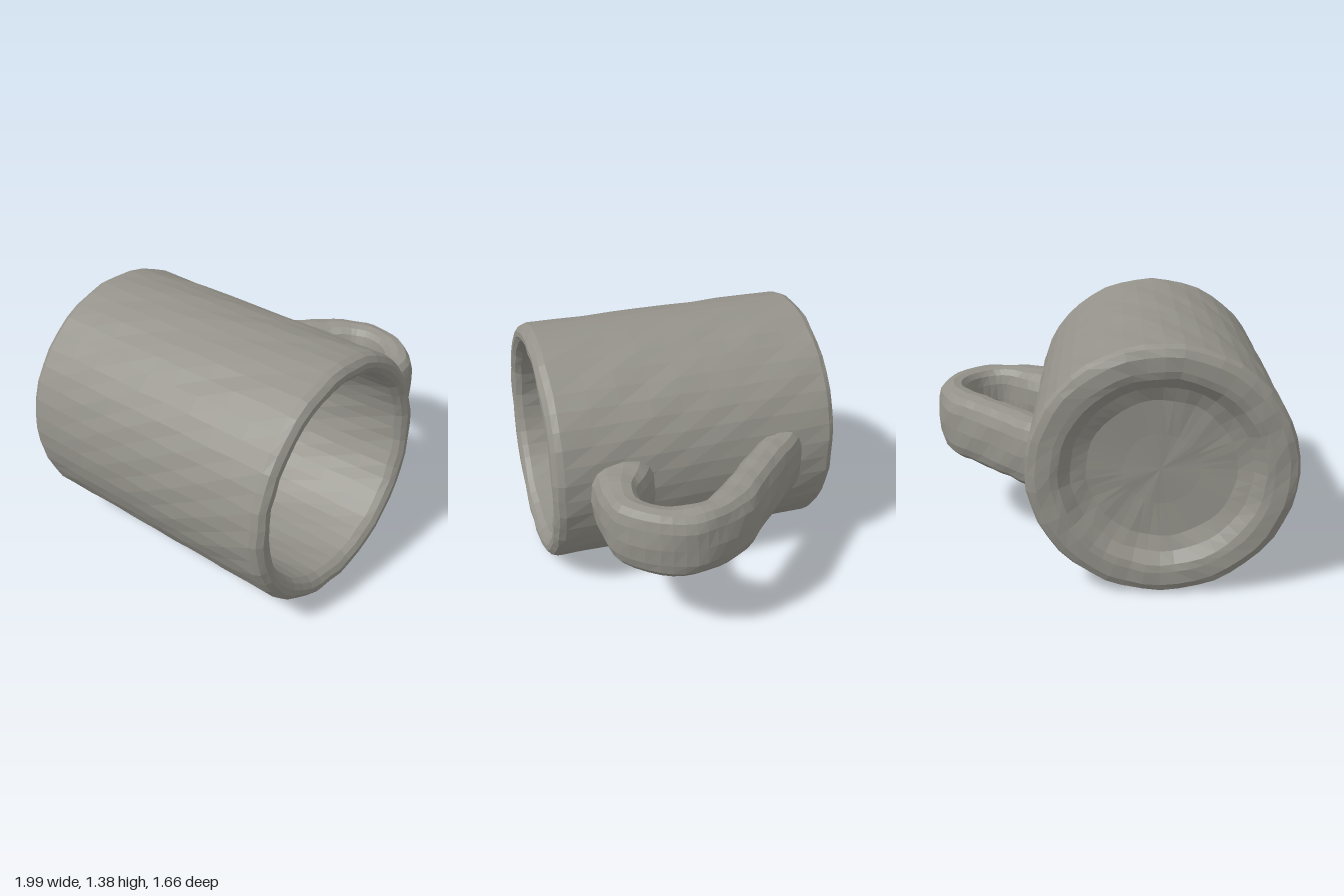
import * as THREE from 'three';

const CX = -0.295, CY = 0.69;

// Small hand-worn unevenness, a function of position so seams stay closed
function roughen(geometry, amount) {
  const p = geometry.attributes.position;
  for (let i = 0; i < p.count; i++) {
    const x = p.getX(i), y = p.getY(i), z = p.getZ(i);
    p.setXYZ(i,
      x + amount * Math.sin(31 * y + 17 * z + 5 * x),
      y + amount * Math.sin(27 * z + 23 * x + 1),
      z + amount * Math.sin(29 * x + 19 * y + 2));
  }
  geometry.computeVertexNormals();
  return geometry;
}

// Straight wall between two heights, with intermediate rings
function wall(r0, z0, r1, z1, steps) {
  return Array.from({ length: steps + 1 }, (_, i) => {
    const t = i / steps;
    return [r0 + (r1 - r0) * t, z0 + (z1 - z0) * t];
  });
}

// Lying cup: dished base, outer wall, rounded rim, hollow inside
function cupGeometry() {
  const profile = [
    [0, -0.715], [0.2, -0.715], [0.39, -0.725], [0.47, -0.755], [0.53, -0.805], [0.57, -0.815],
    [0.645, -0.815], [0.685, -0.797],
    ...wall(0.702, -0.765, 0.702, 0.755, 9),
    [0.69, 0.79], [0.66, 0.812], [0.63, 0.813], [0.6, 0.795],
    ...wall(0.58, 0.76, 0.565, -0.48, 7),
    [0.545, -0.55], [0.49, -0.6], [0.4, -0.62], [0.2, -0.628], [0, -0.63],
  ].map(([r, z]) => new THREE.Vector2(r, z));
  const g = new THREE.LatheGeometry(profile, 44);
  g.rotateX(Math.PI / 2);
  const p = g.attributes.position;
  for (let i = 0; i < p.count; i++) {
    const x = p.getX(i), y = p.getY(i), z = p.getZ(i);
    // slightly squashed, slightly leaning ends, faintly wider at the back
    const taper = 1 - 0.006 * z;
    p.setXYZ(i, CX + x, CY + y * 0.975 * taper, z - 0.025 * y);
  }
  return roughen(g, 0.003);
}

// Handle: rounded strap swept between an outer and an inner edge [x, z]
function handleGeometry() {
  const curve = (pts) => new THREE.CatmullRomCurve3(pts.map(([x, z]) => new THREE.Vector3(x, 0, z)));
  const outer = curve([[0.33, -0.66], [0.42, -0.59], [0.58, -0.42], [0.74, -0.26], [0.89, -0.11], [0.97, 0.06],
    [0.995, 0.22], [0.94, 0.4], [0.77, 0.58], [0.62, 0.615], [0.48, 0.62], [0.33, 0.62]]);
  const inner = curve([[0.33, -0.35], [0.42, -0.27], [0.54, -0.14], [0.65, -0.03], [0.75, 0.08], [0.795, 0.15],
    [0.81, 0.22], [0.78, 0.34], [0.67, 0.41], [0.57, 0.39], [0.47, 0.3], [0.33, 0.22]]);
  const rings = 33, sides = 16, pos = [], idx = [];
  const round = (v) => Math.sign(v) * Math.abs(v) ** 0.72;
  for (let i = 0; i <= rings; i++) {
    const o = outer.getPoint(i / rings), n = inner.getPoint(i / rings);
    const c = o.clone().add(n).multiplyScalar(0.5);
    const h = o.clone().sub(n).multiplyScalar(0.5);
    for (let j = 0; j < sides; j++) {
      const a = (j / sides) * Math.PI * 2;
      const u = round(Math.cos(a)), v = round(Math.sin(a));
      pos.push(c.x + h.x * u, 0.683 - 0.018 * c.z + 0.193 * v, c.z + h.z * u);
    }
  }
  for (let i = 0; i < rings; i++) {
    for (let j = 0; j < sides; j++) {
      const k = (j + 1) % sides;
      const a = i * sides + j, b = i * sides + k, c = a + sides, d = b + sides;
      idx.push(a, b, c, b, d, c);
    }
  }
  const g = new THREE.BufferGeometry();
  g.setAttribute('position', new THREE.Float32BufferAttribute(pos, 3));
  g.setIndex(idx);
  return roughen(g, 0.003);
}

export function createModel() {
  const clay = new THREE.MeshStandardMaterial({ color: 0x94928a, flatShading: true });
  clay.name = 'grey clay';

  const mug = new THREE.Group();
  mug.name = 'mug';
  const parts = { cup: cupGeometry(), handle: handleGeometry() };
  for (const [name, geometry] of Object.entries(parts)) {
    const mesh = new THREE.Mesh(geometry, clay);
    mesh.name = name;
    mug.add(mesh);
  }
  return mug;
}
